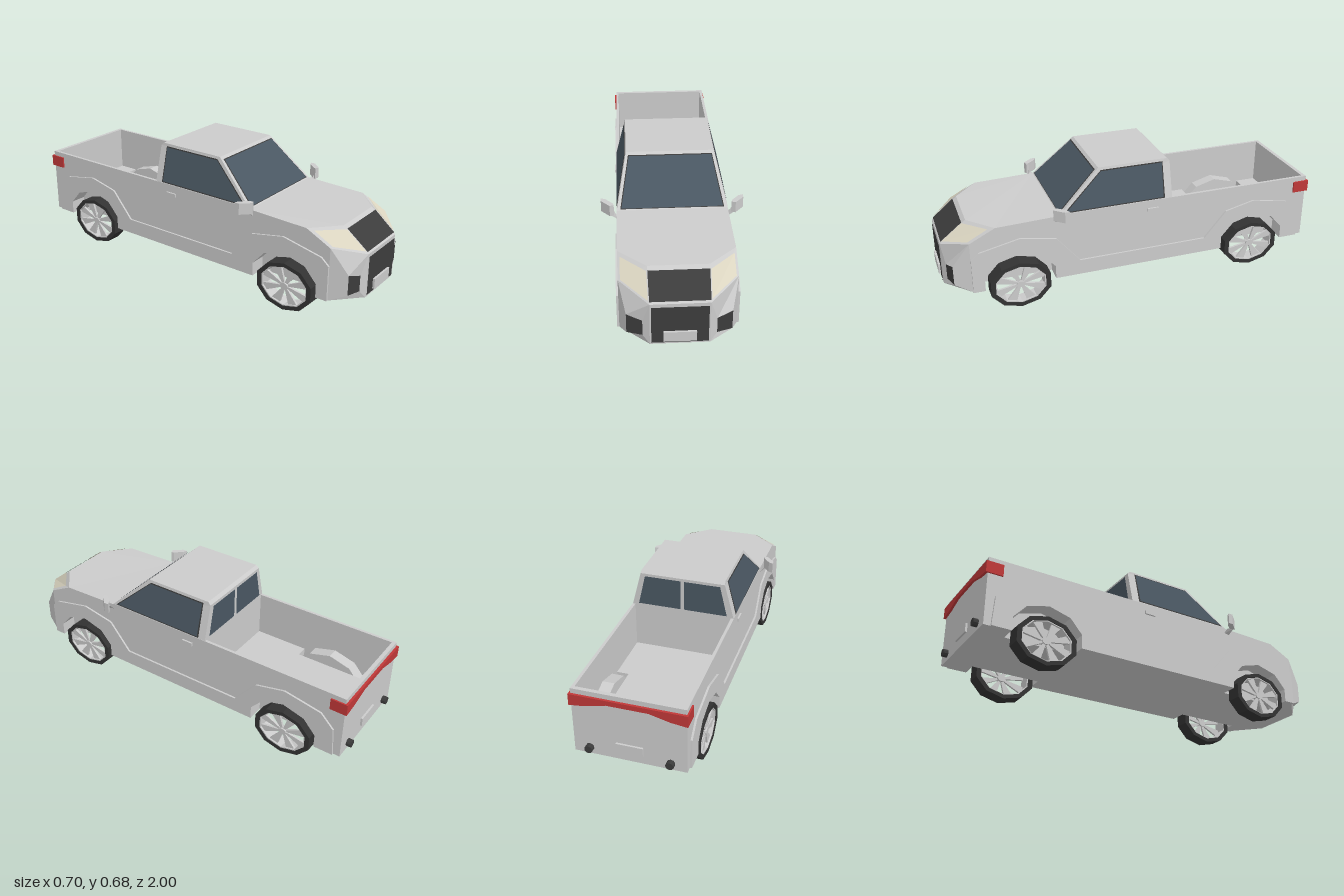
import * as THREE from 'three';

const mat = (color, extra = {}) => new THREE.MeshStandardMaterial({ color, flatShading: true, side: THREE.DoubleSide, ...extra });
const GREY = mat(0xcccccc), DARK = mat(0x3c3c3c), TYRE = mat(0x333333);
const GLASS = mat(0x4a5762), RED = mat(0xc03838), LAMP = mat(0xdad4c0);

export function createModel() {
  const model = new THREE.Group();

  const add = (name, geo, material = GREY, parent = model) => {
    const mesh = new THREE.Mesh(geo, material);
    mesh.name = name;
    parent.add(mesh);
    return mesh;
  };
  const box = (name, w, h, d, x, y, z, material) =>
    add(name, new THREE.BoxGeometry(w, h, d).translate(x, y, z), material);

  // flat polygon from corners, counter-clockwise from outside, lifted along its normal
  const face = (name, pts, material, lift = 0) => {
    const v = pts.map(p => new THREE.Vector3(...p));
    const last = v[v.length - 1];
    const n = v[1].clone().sub(v[0]).cross(last.clone().sub(v[0])).normalize();
    v.forEach(p => p.addScaledVector(n, lift));
    const tris = [];
    for (let i = 1; i < v.length - 1; i++) tris.push(v[0], v[i], v[i + 1]);
    const geo = new THREE.BufferGeometry().setFromPoints(tris);
    geo.computeVertexNormals();
    return add(name, geo, material);
  };
  const both = (name, pts, material, lift) => {
    face('left' + name, pts, material, lift);
    face('right' + name, pts.map(([x, y, z]) => [-x, y, z]).reverse(), material, lift);
  };
  // smaller quad inside a quad
  const inset = ([a, b, c, d], u0, u1, v0, v1) =>
    [[u0, v0], [u1, v0], [u1, v1], [u0, v1]].map(([u, v]) => a.map((_, i) =>
      (1 - v) * ((1 - u) * a[i] + u * b[i]) + v * ((1 - u) * d[i] + u * c[i])));

  // side profile in (z, y), extruded inward from x = outer on both sides
  const sidePair = (name, pts, outer, depth) => {
    const shape = new THREE.Shape(pts.map(p => new THREE.Vector2(...p)));
    const geo = new THREE.ExtrudeGeometry(shape, { depth, bevelEnabled: false }).rotateY(-Math.PI / 2);
    add('left' + name, geo.clone().translate(outer, 0, 0));
    add('right' + name, geo.translate(depth - outer, 0, 0));
  };

  const AXLES = [0.62, -0.66];
  const arch = zc => [[-0.18, 0.13], [-0.18, 0.2], [-0.115, 0.273], [0, 0.305], [0.115, 0.273], [0.18, 0.2], [0.18, 0.13]]
    .map(([z, y]) => [zc + z, y]);
  const arches = [...arch(AXLES[1]), ...arch(AXLES[0])];

  // body sides and raised cladding around the arches
  sidePair('BodySide', [[0.86, 0.13], [0.86, 0.4], [0.73, 0.465], [0.41, 0.475], [0.4, 0.48],
    [-0.975, 0.48], [-0.975, 0.13], ...arches], 0.272, 0.015);
  sidePair('Cladding', [[0.86, 0.13], [0.86, 0.31], [0.82, 0.345], [0.61, 0.39], [0.43, 0.355], [0.31, 0.21],
    [-0.38, 0.21], [-0.5, 0.35], [-0.66, 0.387], [-0.86, 0.35], [-0.93, 0.28], [-0.94, 0.13], ...arches], 0.282, 0.012);

  // chassis floor with notches for the wheels
  const half = [[0.137, 0.98], [0.265, 0.86]];
  AXLES.forEach(z => half.push([0.265, z + 0.18], [0.195, z + 0.18], [0.195, z - 0.18], [0.265, z - 0.18]));
  half.push([0.265, -0.965]);
  const plan = [...half, ...half.map(([x, z]) => [-x, z]).reverse()].map(p => new THREE.Vector2(...p));
  add('chassisFloor', new THREE.ExtrudeGeometry(new THREE.Shape(plan), { depth: 0.11, bevelEnabled: false })
    .rotateX(Math.PI / 2).translate(0, 0.24, 0));

  // wheel wells
  for (const zc of AXLES) {
    const a = arch(zc);
    for (let i = 0; i < a.length - 1; i++) {
      const [z0, y0] = a[i], [z1, y1] = a[i + 1];
      both('WheelWell', [[0.195, y0, z0], [0.265, y0, z0], [0.265, y1, z1], [0.195, y1, z1]], GREY);
    }
    both('WheelWellWall', a.map(([z, y]) => [0.195, y, z]), GREY);
  }

  // tailgate, bed front wall
  box('tailgate', 0.544, 0.35, 0.02, 0, 0.305, -0.965);
  box('bedFrontWall', 0.53, 0.25, 0.02, 0, 0.355, -0.18);

  // cab
  const bf = [0.272, 0.475, 0.41], tf = [0.22, 0.68, 0.19], tb = [0.22, 0.68, -0.175];
  const eb = [0.222, 0.665, -0.19], bb = [0.272, 0.475, -0.19];
  const m = ([x, y, z]) => [-x, y, z];
  const windshield = [m(bf), bf, tf, m(tf)];
  face('windshieldFrame', windshield, GREY);
  face('windshieldSeal', inset(windshield, 0.03, 0.97, 0.02, 0.94), DARK, 0.002);
  face('windshield', inset(windshield, 0.04, 0.96, 0.03, 0.92), GLASS, 0.004);
  face('roof', [m(tf), tf, tb, m(tb)], GREY);
  face('roofRearEdge', [eb, m(eb), m(tb), tb], GREY);
  const back = [bb, m(bb), m(eb), eb];
  face('cabBack', back, GREY);
  face('rearWindowRight', inset(back, 0.52, 0.94, 0.08, 0.93), GLASS, 0.003);
  face('rearWindowLeft', inset(back, 0.06, 0.48, 0.08, 0.93), GLASS, 0.003);
  both('CabSide', [bf, bb, eb, tb, tf], GREY);
  const onSide = (y, z) => [0.272 - 0.052 * (y - 0.475) / 0.205, y, z];
  const pane = [onSide(0.483, 0.385), onSide(0.483, -0.15), onSide(0.667, -0.15), onSide(0.667, 0.178)];
  both('SideWindowSeal', pane, DARK, 0.002);
  both('SideWindow', inset(pane, 0.015, 0.985, 0.03, 0.97), GLASS, 0.004);

  // hood
  face('hood', [[-0.272, 0.475, 0.41], [-0.272, 0.465, 0.73], [-0.14, 0.465, 0.85],
    [0.14, 0.465, 0.85], [0.272, 0.465, 0.73], [0.272, 0.475, 0.41]], GREY);

  // upper grille and headlights
  const A = [0.136, 0.355, 0.985], B = [0.272, 0.4, 0.86], C = [0.272, 0.13, 0.86], D = [0.136, 0.13, 0.985];
  const H = [0.14, 0.465, 0.85], K = [0.272, 0.465, 0.73];
  const nose = [m(A), A, H, m(H)];
  face('nosePanel', nose, GREY);
  face('upperGrille', inset(nose, 0, 1, 0.06, 0.87), DARK, 0.004);
  const lampPanel = [A, B, K, H];
  both('HeadlightPanel', lampPanel, GREY);
  both('Headlight', inset(lampPanel, 0.02, 0.9, 0.08, 0.85), LAMP, 0.006);

  // bumper with lower grille and faceted corners around the fog lamps
  const bumper = [m(D), D, A, m(A)];
  face('bumper', bumper, GREY);
  face('lowerGrille', inset(bumper, 0.025, 0.975, 0.04, 0.93), DARK, 0.003);
  box('frontPlate', 0.15, 0.053, 0.015, 0, 0.178, 0.991);
  const fog = [[0.168, 0.17, 0.968], [0.24, 0.17, 0.945], [0.24, 0.273, 0.945], [0.168, 0.252, 0.968]];
  const rim = [D, C, B, A];
  rim.forEach((p, i) => {
    const j = (i + 1) % 4;
    both('BumperCorner', [p, rim[j], fog[j], fog[i]], GREY);
  });
  both('FogLamp', fog, DARK);

  // tail lights joined by a band that thins toward the middle
  const band = new THREE.Shape([[-0.28, 0.395], [-0.2, 0.405], [-0.1, 0.43], [0.1, 0.43], [0.2, 0.405],
    [0.28, 0.395], [0.28, 0.455], [-0.28, 0.455]].map(p => new THREE.Vector2(...p)));
  add('tailLightBand', new THREE.ExtrudeGeometry(band, { depth: 0.012, bevelEnabled: false }).translate(0, 0, -0.987), RED);
  box('rearPlate', 0.13, 0.045, 0.012, 0, 0.2, -0.979);

  // mirror housing in plan
  const mirrorPlan = [[0.348, 0.375], [0.348, 0.4], [0.305, 0.448], [0.285, 0.44], [0.29, 0.425], [0.325, 0.385]];

  for (const s of [1, -1]) {
    const side = s > 0 ? 'left' : 'right';
    box(side + 'TailLight', 0.012, 0.06, 0.085, s * 0.274, 0.425, -0.9425, RED);
    box(side + 'DoorHandle', 0.012, 0.018, 0.06, s * 0.275, 0.43, -0.085);
    add(side + 'TowPoint', new THREE.CylinderGeometry(0.02, 0.02, 0.03, 10)
      .rotateX(Math.PI / 2).translate(s * 0.195, 0.167, -0.985), DARK);
    const shape = new THREE.Shape(mirrorPlan.map(([x, z]) => new THREE.Vector2(s * x, z)));
    add(side + 'Mirror', new THREE.ExtrudeGeometry(shape, { depth: 0.058, bevelEnabled: false })
      .rotateX(Math.PI / 2).translate(0, 0.528, 0));
  }
  both('MirrorStalk', [[0.268, 0.44, 0.43], [0.272, 0.455, 0.43], [0.285, 0.49, 0.43], [0.305, 0.472, 0.44]], GREY);
  both('MirrorStalkTop', [[0.268, 0.44, 0.43], [0.305, 0.472, 0.44], [0.29, 0.472, 0.41], [0.268, 0.445, 0.4]], GREY);

  // wheels: unit radius, slightly longer than tall
  const ring = (r0, r1, w) => new THREE.LatheGeometry(
    [[r0, -w], [r1, -w], [r1, w], [r0, w], [r0, -w]].map(p => new THREE.Vector2(...p)), 10, Math.PI / 2)
    .rotateZ(Math.PI / 2);
  const SPOKES = 8;
  for (const z of AXLES) {
    for (const s of [1, -1]) {
      const wheel = new THREE.Group();
      wheel.name = (z > 0 ? 'front' : 'rear') + (s > 0 ? 'Left' : 'Right') + 'Wheel';
      add('tyre', ring(0.84, 1, 0.039), TYRE, wheel);
      add('rim', ring(0.8, 0.84, 0.035), GREY, wheel);
      add('hub', new THREE.CylinderGeometry(0.14, 0.14, 0.03, 10).rotateZ(Math.PI / 2).translate(s * 0.018, 0, 0), GREY, wheel);
      for (let i = 0; i < SPOKES; i++) {
        const spoke = new THREE.Shape([[0.05, -0.03], [0.82, -0.16], [0.82, 0.16], [0.05, 0.03]].map(p => new THREE.Vector2(...p)));
        add('spoke', new THREE.ExtrudeGeometry(spoke, { depth: 0.012, bevelEnabled: false })
          .rotateY(-Math.PI / 2).rotateX((i + 0.5) / SPOKES * Math.PI * 2).translate(s * 0.02 + 0.006, 0, 0), GREY, wheel);
      }
      wheel.scale.set(1, 0.126, 0.161);
      wheel.position.set(s * 0.241, 0.126, z);
      model.add(wheel);
    }
  }
  return model;
}
